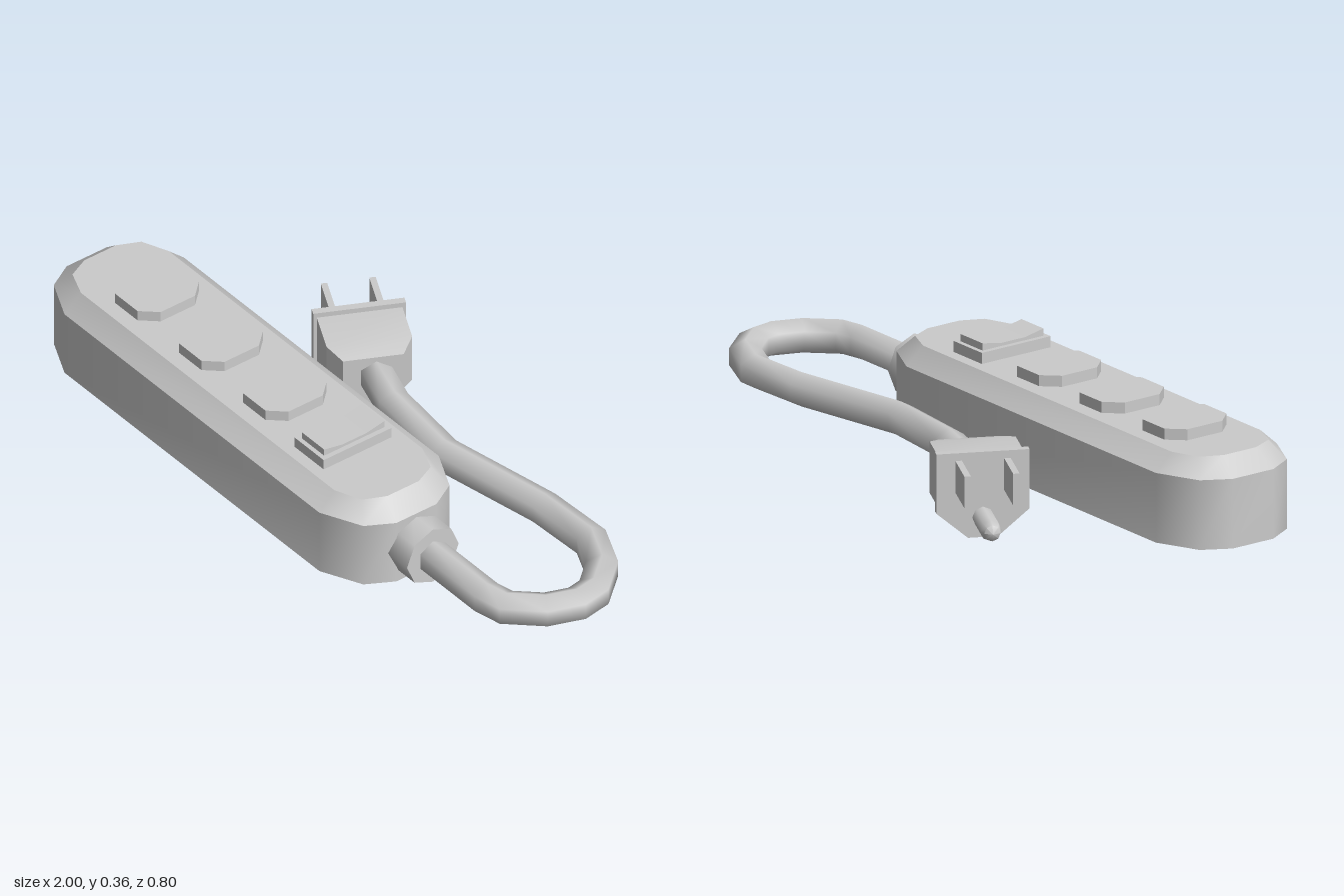
import * as THREE from 'three';
import { toCreasedNormals } from 'three/addons/utils/BufferGeometryUtils.js';

const material = new THREE.MeshStandardMaterial({ color: 0xcccccc });

function add(parent, name, geometry, x = 0, y = 0, z = 0) {
  const mesh = new THREE.Mesh(geometry, material);
  mesh.name = name;
  mesh.position.set(x, y, z);
  parent.add(mesh);
}

// Skin convex rings of [x, y, z], counter-clockwise about the direction of travel, with end caps
function loft(rings, crease = 0.3) {
  const n = rings[0].length, last = rings.length - 1, out = [];
  for (let i = 0; i < last; i++) {
    for (let j = 0; j < n; j++) {
      const k = (j + 1) % n;
      const [a, b, c, d] = [rings[i][j], rings[i][k], rings[i + 1][k], rings[i + 1][j]];
      out.push(...a, ...b, ...c, ...a, ...c, ...d);
    }
  }
  for (let j = 1; j < n - 1; j++) {
    out.push(...rings[0][0], ...rings[0][j + 1], ...rings[0][j]);
    out.push(...rings[last][0], ...rings[last][j], ...rings[last][j + 1]);
  }
  const geometry = new THREE.BufferGeometry();
  geometry.setAttribute('position', new THREE.Float32BufferAttribute(out, 3));
  return toCreasedNormals(geometry, crease);
}

// Mirror a quarter outline into a full horizontal ring at height y
function quarterRing(quarter, y) {
  const back = [...quarter].reverse();
  return [
    ...quarter,
    ...back.map(([u, v]) => [-u, v]),
    ...quarter.map(([u, v]) => [-u, -v]),
    ...back.map(([u, v]) => [u, -v]),
  ].map(([u, v]) => [u, y, -v]);
}

// Plug section: flat top, upright sides, tapering underside
function plugRing(w, top, shoulder, foot, bottom, z) {
  return [[w, shoulder, z], [w, top, z], [-w, top, z], [-w, shoulder, z], [-foot, bottom, z], [foot, bottom, z]];
}

function createCable() {
  const path = [
    [0.5, 0.192], [0.78, 0.192], [0.85, 0.177], [0.925, 0.097], [0.956, 0.012], [0.945, -0.055],
    [0.875, -0.138], [0.76, -0.19], [0.56, -0.182], [0.2, -0.115], [-0.06, -0.143], [-0.205, -0.19],
  ].map(([x, z]) => new THREE.Vector2(x, z));
  const rings = path.map((p, i) => {
    const before = p.clone().sub(path[Math.max(i - 1, 0)]).normalize();
    const after = path[Math.min(i + 1, path.length - 1)].clone().sub(p).normalize();
    const dir = before.clone().add(after).normalize();
    // Mitre the ring so that the cable keeps its width through each bend
    const miter = 1 / Math.max(dir.dot(after), dir.dot(before));
    const ring = [];
    for (let k = 0; k < 6; k++) {
      const a = (k * Math.PI) / 3;
      const side = 0.05 * Math.sin(a) * miter;
      ring.push([p.x - dir.y * side, 0.153 + 0.05 * Math.cos(a), p.y + dir.x * side]);
    }
    return ring;
  });
  return loft(rings, 1.2);
}

function createPlug() {
  const plug = new THREE.Group();
  plug.name = 'plug';
  // Local +z points along the prongs
  add(plug, 'plugBody', loft([
    plugRing(0.085, 0.217, 0.1, 0.02, 0.036, -0.2),
    plugRing(0.12, 0.232, 0.083, 0.037, 0.018, -0.145),
    plugRing(0.12, 0.232, 0.083, 0.037, 0.018, 0),
  ]));
  add(plug, 'plugFlange', loft([
    plugRing(0.13, 0.247, 0.075, 0.042, 0, -0.011),
    plugRing(0.13, 0.247, 0.075, 0.042, 0, 0.011),
  ]));
  for (const side of [-1, 1]) {
    add(plug, 'plugBlade', new THREE.BoxGeometry(0.018, 0.092, 0.147), side * 0.068, 0.179, 0.0735);
  }
  // Rounded ground pin
  const profile = [[0, 0], [0.03, 0], [0.03, 0.13], [0.023, 0.153], [0, 0.165]];
  const pin = new THREE.LatheGeometry(profile.map(([r, h]) => new THREE.Vector2(r, h)), 8);
  pin.rotateX(Math.PI / 2);
  add(plug, 'groundPin', toCreasedNormals(pin, 0.9), 0, 0.058, 0);
  plug.position.set(-0.374, 0, -0.267);
  plug.rotation.y = Math.atan2(-0.894, -0.447);
  return plug;
}

export function createModel() {
  const model = new THREE.Group();
  model.name = 'powerStrip';
  const midZ = 0.192;

  // Housing with rounded ends and a bevelled top edge
  const outer = [[0.735, 0.07], [0.69, 0.15], [0.568, 0.208]];
  const inner = [[0.675, 0.055], [0.645, 0.12], [0.565, 0.153]];
  add(model, 'housing', loft([
    quarterRing(outer, 0.053), quarterRing(outer, 0.255), quarterRing(inner, 0.305),
  ], 0.65), -0.265, 0, midZ);

  // Outlets
  const outlet = [[0.093, 0.06], [0.05, 0.107]];
  for (const x of [-0.687, -0.402, -0.117]) {
    add(model, 'outlet', loft([quarterRing(outlet, 0.295), quarterRing(outlet, 0.337)]), x, 0, midZ);
  }

  // Switch with a dished rocker
  add(model, 'switchBase', new THREE.BoxGeometry(0.13, 0.042, 0.237), 0.143, 0.316, midZ);
  const dish = new THREE.Shape([
    [-0.105, 0.33], [0.105, 0.33], [0.105, 0.358], [0.042, 0.346], [-0.042, 0.346], [-0.105, 0.358],
  ].map(([u, v]) => new THREE.Vector2(u, v)));
  const rocker = new THREE.ExtrudeGeometry(dish, { depth: 0.1, bevelEnabled: false });
  rocker.translate(0, 0, -0.05).rotateY(-Math.PI / 2);
  add(model, 'switchRocker', rocker, 0.143, 0, midZ);

  // Cable collar, cable and plug
  const collar = new THREE.CylinderGeometry(0.09, 0.09, 0.09, 8);
  collar.rotateZ(Math.PI / 2);
  add(model, 'cableCollar', toCreasedNormals(collar, 0.9), 0.498, 0.153, midZ);
  add(model, 'cable', createCable());
  model.add(createPlug());
  return model;
}
